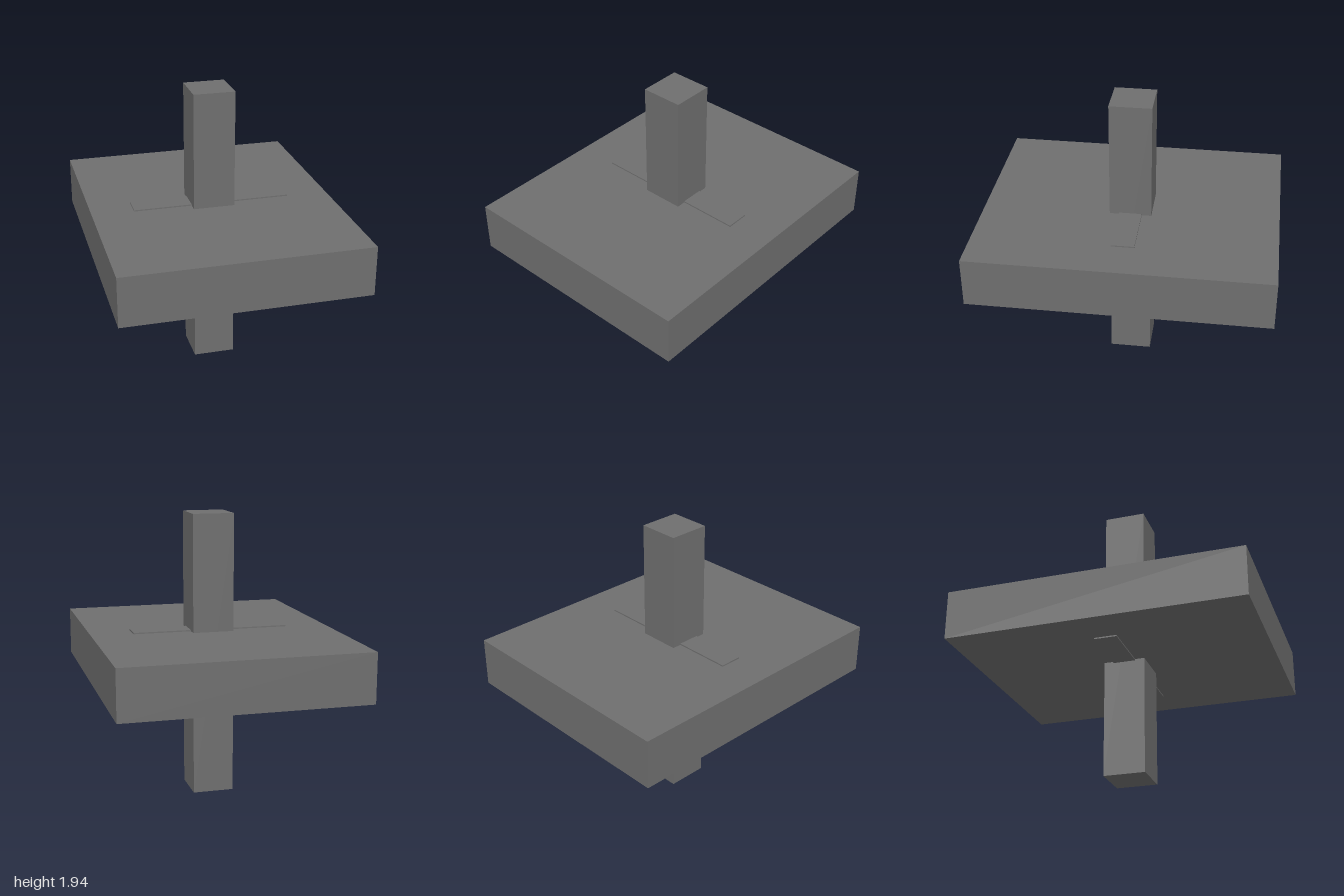
import * as THREE from 'three';

const SLAB_Y = 0.97; // height of the slab's centre

export function createModel() {
  const model = new THREE.Group();
  const material = new THREE.MeshStandardMaterial({ color: 0x6f6f6f, flatShading: true });

  function addBox(name, width, height, depth) {
    const mesh = new THREE.Mesh(new THREE.BoxGeometry(width, height, depth), material);
    mesh.name = name;
    mesh.position.y = SLAB_Y;
    model.add(mesh);
  }

  // Broad horizontal slab
  addBox('slab', 1.648, 0.338, 2);
  // Square post passing through the slab
  addBox('post', 0.282, 1.94, 0.282);
  // Cross key, standing slightly proud of the slab above and below
  addBox('crossKey', 1.076, 0.356, 0.154);

  return model;
}
